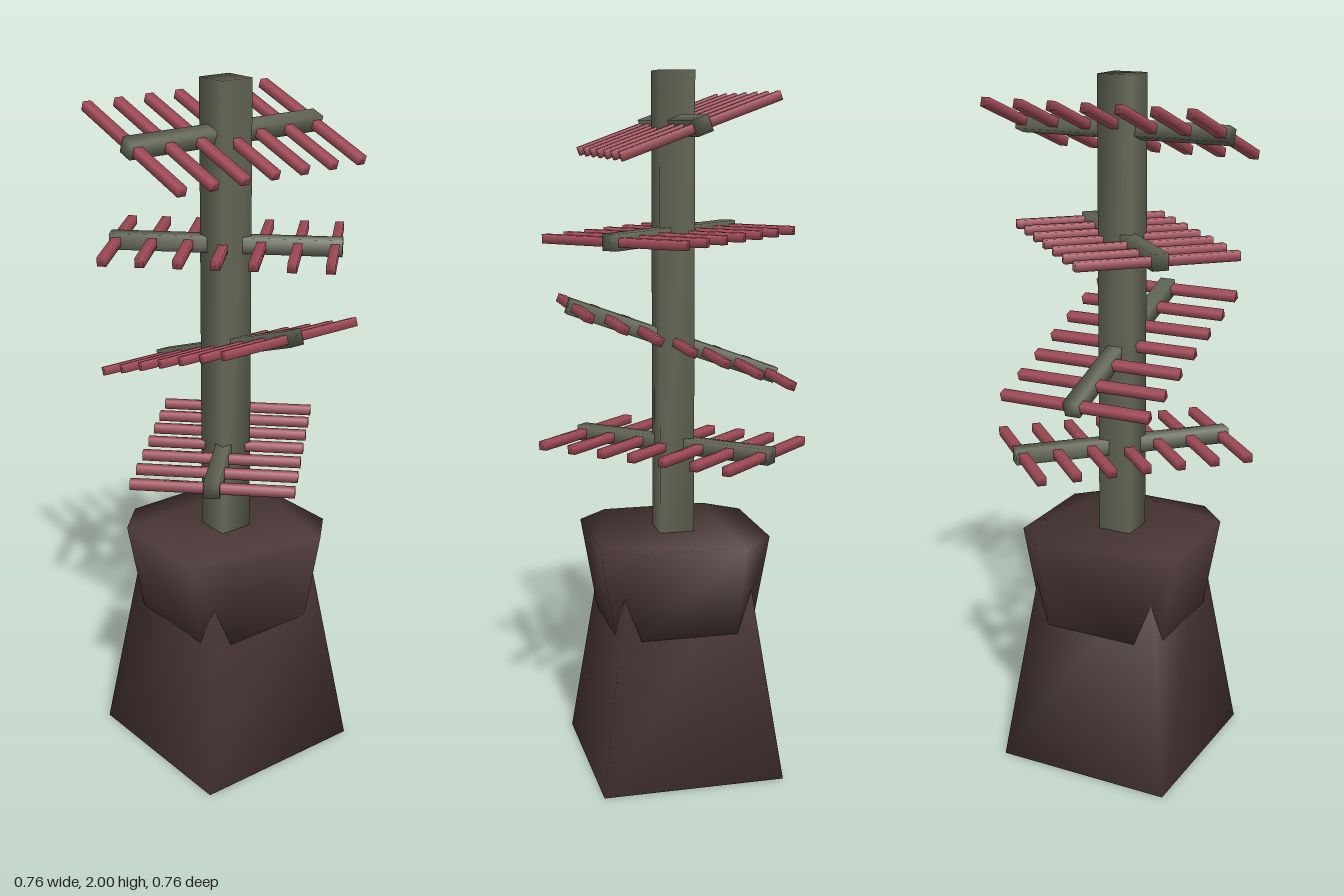
import * as THREE from 'three';
import { mergeVertices } from 'three/addons/utils/BufferGeometryUtils.js';
import { ConvexGeometry } from 'three/addons/geometries/ConvexGeometry.js';

const paint = (name, color) => {
  const material = new THREE.MeshStandardMaterial({ color });
  material.name = name;
  return material;
};

// Weld the corners so normals blend softly over the edges
function soften(geometry) {
  geometry.deleteAttribute('uv');
  geometry.deleteAttribute('normal');
  const welded = mergeVertices(geometry, 1e-4);
  welded.computeVertexNormals();
  return welded;
}

const softBox = (x, y, z) => soften(new THREE.BoxGeometry(x, y, z));

// Square ring with cut corners: half width h, half length of each flat side f
const ring = (y, h, f) => [-1, 1].flatMap((a) => [-1, 1].flatMap((b) => [
  new THREE.Vector3(a * h, y, b * f), new THREE.Vector3(a * f, y, b * h),
]));

export function createModel() {
  const model = new THREE.Group();
  const stone = paint('darkBrown', 0x4a3636);
  const post = paint('greyGreen', 0x646857);
  const rose = paint('roseRed', 0xa84f5c);

  const add = (parent, name, geometry, material, x = 0, y = 0, z = 0) => {
    const mesh = new THREE.Mesh(geometry, material);
    mesh.name = name;
    mesh.position.set(x, y, z);
    parent.add(mesh);
    return mesh;
  };

  // Tapered foot, a square frustum
  const foot = new THREE.CylinderGeometry(0.176 * Math.SQRT2, 0.263 * Math.SQRT2, 0.62, 4);
  foot.rotateY(Math.PI / 4);
  add(model, 'foot', soften(foot), stone, 0, 0.31, 0);

  // Flared collar with cut corners that let the foot show through
  const collar = new ConvexGeometry([...ring(0.43, 0.202, 0.14), ...ring(0.7, 0.247, 0.155)]);
  add(model, 'collar', soften(collar), stone);

  // Upright post
  add(model, 'post', softBox(0.1, 1.35, 0.1), post, 0, 1.325, 0);

  // Crossarms: each carries seven slats across it
  const armGeometry = softBox(0.64, 0.045, 0.045);
  const slatGeometry = softBox(0.025, 0.025, 0.45);
  const tilt = THREE.MathUtils.degToRad(20);
  const arms = [
    { y: 0.953, turn: Math.PI / 4, roll: 0, pitch: 0 },
    { y: 1.252, turn: -Math.PI / 2, roll: tilt, pitch: 0 },
    { y: 1.553, turn: -Math.PI / 4, roll: 0, pitch: 0 },
    { y: 1.853, turn: 0, roll: 0, pitch: tilt },
  ];
  arms.forEach(({ y, turn, roll, pitch }, i) => {
    const crossarm = new THREE.Group();
    crossarm.name = `crossarm${i + 1}`;
    crossarm.position.y = y;
    crossarm.rotation.set(pitch, turn, roll, 'YXZ');
    add(crossarm, 'beam', armGeometry, post);
    for (let k = -3; k <= 3; k++) add(crossarm, 'slat', slatGeometry, rose, k * 0.1);
    model.add(crossarm);
  });

  return model;
}
